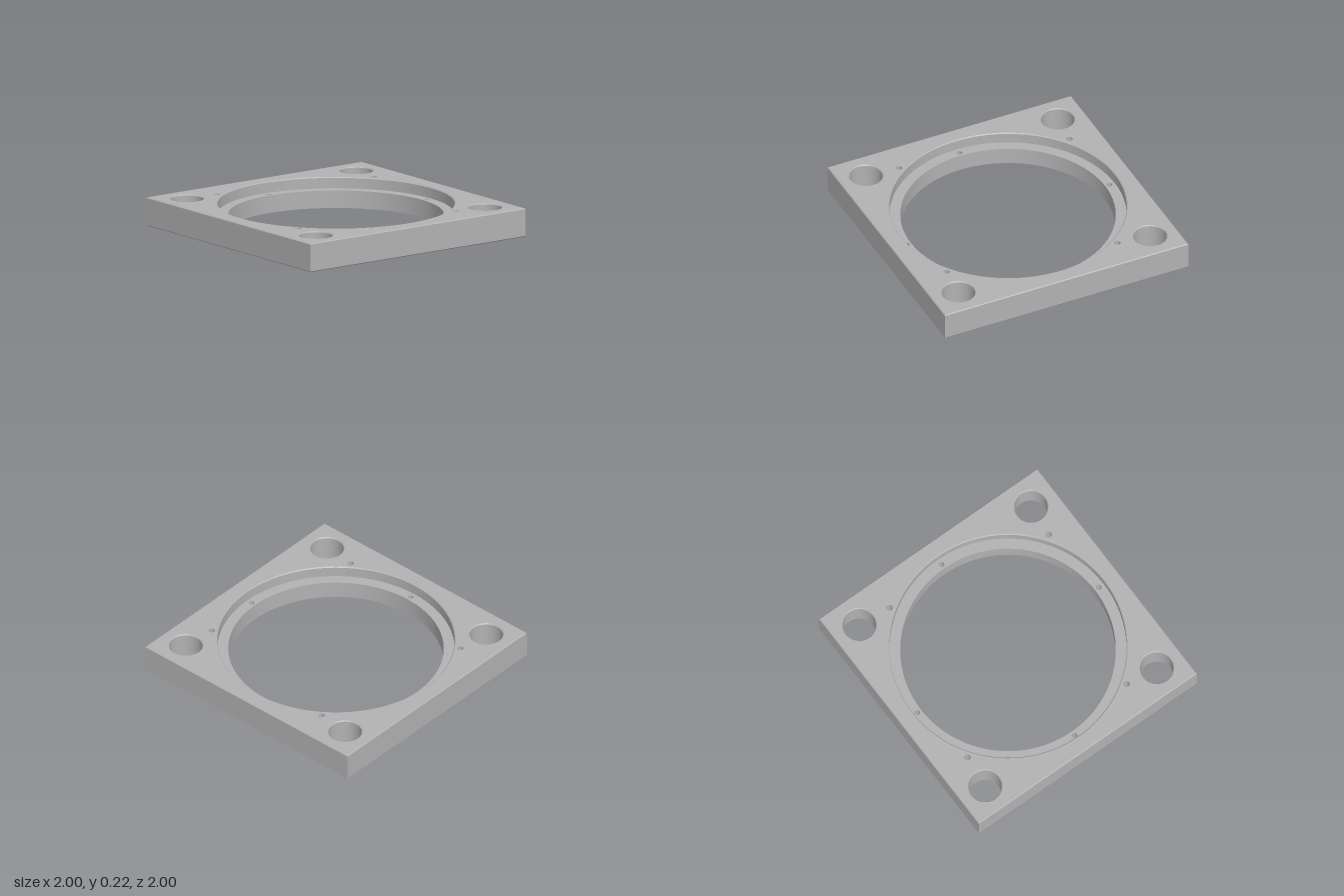
import * as THREE from 'three';
import { toCreasedNormals } from 'three/addons/utils/BufferGeometryUtils.js';

const H = 0.217;        // plate height
const LEDGE = 0.132;    // height of the recessed ledge
const C = 0.007;        // edge chamfer
const BORE = 0.797, RECESS = 0.877;

const steel = new THREE.MeshStandardMaterial({ color: 0xb2b2b2 });
steel.name = 'plain grey';

export function createModel() {
  const group = new THREE.Group();
  group.name = 'flangePlate';

  const add = (name, geometry, x = 0, z = 0) => {
    const mesh = new THREE.Mesh(geometry, steel);
    mesh.name = name;
    mesh.position.set(x, 0, z);
    group.add(mesh);
    return mesh;
  };

  // Revolved wall; a profile running downwards faces the axis
  const wall = (name, profile, segments, x, z) => add(name, toCreasedNormals(
    new THREE.LatheGeometry(profile.map(([r, y]) => new THREE.Vector2(r, y)), segments), 0.5), x, z);

  // Hole lists: [x, z, radius]
  const corners = [], outerPins = [], ledgePins = [];
  for (let i = 0; i < 4; i++) {
    const a = i * Math.PI / 2, c = Math.round(Math.cos(a)), s = Math.round(Math.sin(a));
    const turn = (x, z, r) => [x * c - z * s, x * s + z * c, r];
    corners.push(turn(0.787, 0.787, 0.123));
    outerPins.push(turn(0.53, 0.76, 0.024));
    ledgePins.push(turn(0.833, 0, 0.021));
  }
  const cornerMouths = corners.map(([x, z, r]) => [x, z, r + C]);

  const circle = (PathType, x, y, r, n) => {
    const pts = [];
    for (let i = 0; i < n; i++) {
      const a = i / n * Math.PI * 2;
      pts.push(new THREE.Vector2(x + r * Math.sin(a), y + r * Math.cos(a)));
    }
    return new PathType(pts);
  };
  const sides = r => (r > 0.5 ? 128 : r > 0.1 ? 64 : 24);

  // Flat horizontal face pierced by holes, facing up (dir 1) or down (dir -1)
  const face = (name, shape, holes, y, dir) => {
    for (const [x, z, r] of holes) shape.holes.push(circle(THREE.Path, x, -dir * z, r, sides(r)));
    const g = new THREE.ShapeGeometry(shape);
    g.rotateX(-dir * Math.PI / 2);
    g.translate(0, y, 0);
    add(name, g);
  };
  const square = () => {
    const e = 1 - C;
    return new THREE.Shape([[-e, -e], [e, -e], [e, e], [-e, e]].map(p => new THREE.Vector2(...p)));
  };

  // Horizontal faces
  face('topFace', square(), [[0, 0, RECESS + C], ...cornerMouths, ...outerPins], H, 1);
  face('ledge', circle(THREE.Shape, 0, 0, RECESS, 128), [[0, 0, BORE], ...ledgePins], LEDGE, 1);
  face('bottomFace', square(), [[0, 0, BORE], ...cornerMouths, ...outerPins, ...ledgePins], 0, -1);

  // Square outer sides with chamfered top and bottom edges
  const d = Math.SQRT2, e = (1 - C) * d;
  wall('outerSides', [[e, 0], [d, C], [d, H - C], [e, H]], 4).rotation.y = Math.PI / 4;

  // Central recess and bore
  wall('recessWall', [[RECESS + C, H], [RECESS, H - C], [RECESS, LEDGE]], 128);
  wall('boreWall', [[BORE, LEDGE], [BORE, 0]], 128);

  // Chamfered bolt holes and plain pin holes
  for (const [x, z, r] of corners)
    wall('boltHole', [[r + C, H], [r, H - C], [r, C], [r + C, 0]], 64, x, z);
  for (const [x, z, r] of outerPins) wall('pinHole', [[r, H], [r, 0]], 24, x, z);
  for (const [x, z, r] of ledgePins) wall('ledgePinHole', [[r, LEDGE], [r, 0]], 24, x, z);

  return group;
}
